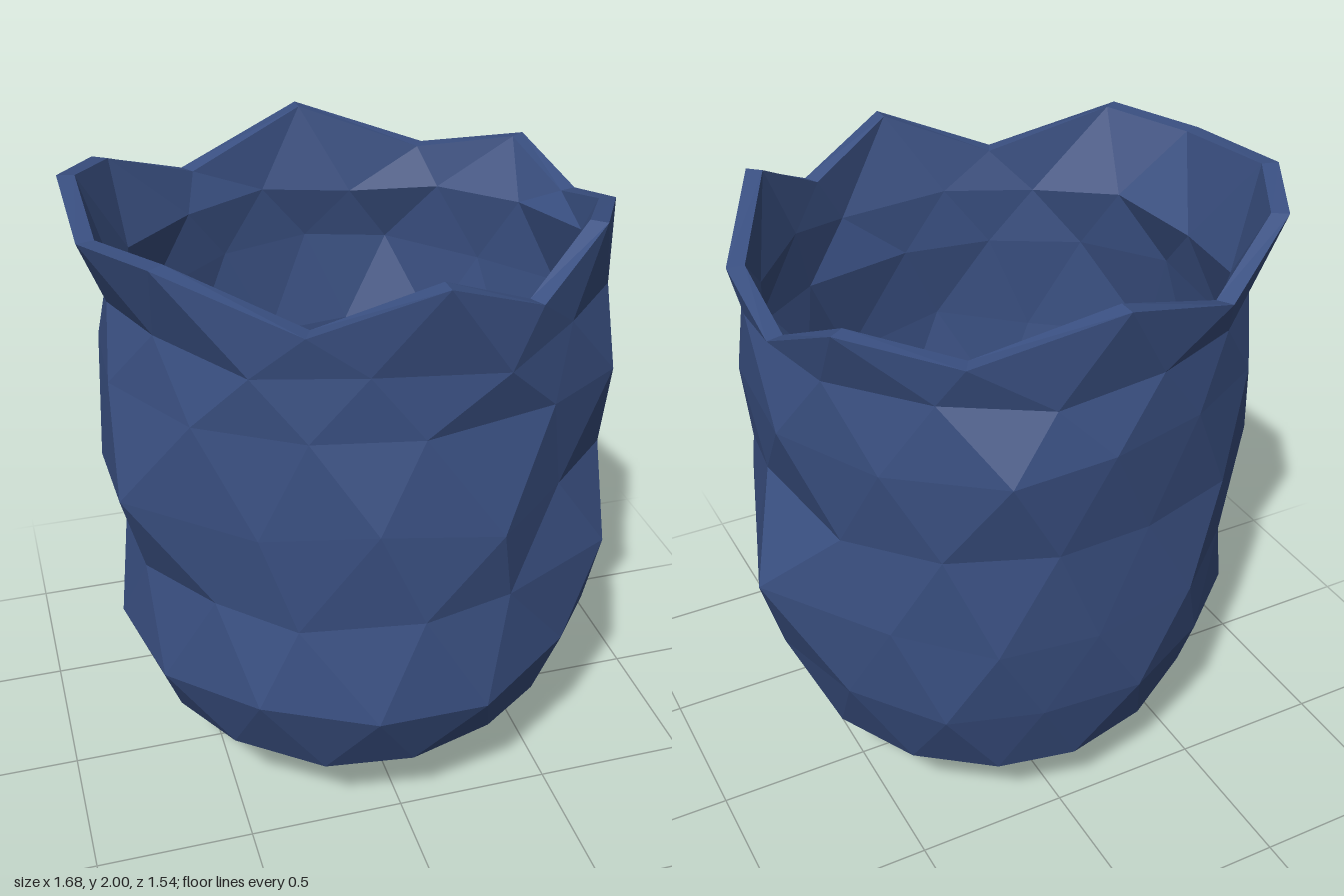
import * as THREE from 'three';

const SEG = 14;

// Rim corners [x, y, z], running from the front towards +x
const RIM = [
  [0.02, 1.97, 0.77], [0.32, 1.84, 0.66], [0.56, 1.98, 0.5], [0.77, 1.88, 0.1],
  [0.77, 1.8, -0.2], [0.68, 1.91, -0.44], [0.4, 1.84, -0.64], [0, 1.97, -0.77],
  [-0.41, 1.83, -0.64], [-0.71, 1.96, -0.46], [-0.84, 2.0, -0.22], [-0.84, 1.96, 0.2],
  [-0.69, 1.98, 0.47], [-0.33, 1.83, 0.66],
];

// Body rings: [height, reach to front, +x, back, -x, crumple]
const RINGS = [
  [0.11, 0.37, 0.36, 0.36, 0.41, 0.015],
  [0.31, 0.61, 0.64, 0.58, 0.68, 0.015],
  [0.6, 0.75, 0.73, 0.69, 0.78, 0.018],
  [0.9, 0.73, 0.77, 0.72, 0.76, 0.02],
  [1.2, 0.75, 0.74, 0.71, 0.8, 0.02],
  [1.5, 0.71, 0.77, 0.74, 0.8, 0.02],
  [1.71, 0.72, 0.75, 0.71, 0.76, 0.015],
];

// Folds pushed out of the rings: [ring, corner, x, y, z]
const FOLDS = [
  [1, 3, 0.62, 0.34, 0.16],
  [2, 0, 0.19, 0.57, 0.74], [2, 1, 0.5, 0.62, 0.55], [2, 13, -0.15, 0.58, 0.75],
  [3, 1, 0.27, 0.92, 0.67], [3, 2, 0.63, 0.94, 0.51], [3, 4, 0.84, 0.94, -0.12],
  [3, 13, -0.36, 0.88, 0.63],
  [4, 0, 0.22, 1.17, 0.73], [4, 1, 0.45, 1.2, 0.55], [4, 3, 0.73, 1.25, 0.03],
  [4, 11, -0.8, 1.2, 0.3], [4, 13, -0.15, 1.24, 0.74],
  [5, 1, 0.39, 1.51, 0.62], [5, 2, 0.64, 1.5, 0.45], [5, 6, 0.31, 1.5, -0.73],
  [6, 0, 0.22, 1.68, 0.71], [6, 3, 0.75, 1.76, 0.04],
];

// Wall thickness per ring: [inwards, upwards], rim last
const WALL = [
  [0.02, 0.05], [0.04, 0.04], [0.05, 0.015], [0.055, 0],
  [0.055, 0], [0.055, 0], [0.055, 0], [0.053, 0],
];

function seeded(seed) {
  return () => {
    seed = (seed * 16807) % 2147483647;
    return (seed / 2147483647) * 2 - 1;
  };
}

// Ring of corners; every other ring is turned by half a step
function bodyRing([y, front, left, back, right, crumple], index, rand) {
  const points = [];
  for (let i = 0; i < SEG; i++) {
    const a = ((i + (index % 2 ? 0 : 0.5)) / SEG) * Math.PI * 2 + rand() * crumple;
    const s = Math.sin(a), c = Math.cos(a);
    const r = (c > 0 ? front : back) * c * c + (s > 0 ? left : right) * s * s + rand() * crumple;
    points.push(new THREE.Vector3(s * r, y + rand() * crumple * 1.5, c * r));
  }
  return points;
}

// Same ring moved inwards by the wall thickness
function inset(ring, [inwards, upwards]) {
  return ring.map((p) => {
    const k = 1 - inwards / Math.hypot(p.x, p.z);
    return new THREE.Vector3(p.x * k, p.y + upwards, p.z * k);
  });
}

// Faceted geometry from a list of corner triples
function facets(triangles) {
  const geometry = new THREE.BufferGeometry().setFromPoints(triangles);
  geometry.computeVertexNormals();
  return geometry;
}

// Band between two rings; lag tells whether the upper ring trails by half a step
function band(out, low, high, lag) {
  for (let i = 0; i < SEG; i++) {
    const j = (i + 1) % SEG;
    if (lag) out.push(low[i], low[j], high[j], low[i], high[j], high[i]);
    else out.push(low[i], low[j], high[i], low[j], high[j], high[i]);
  }
}

// Closed bottom plus stacked bands, turned inside out for the lining
function shell(rings, tip, inward) {
  const out = [];
  for (let i = 0; i < SEG; i++) out.push(tip, rings[0][(i + 1) % SEG], rings[0][i]);
  for (let k = 0; k + 1 < rings.length; k++) band(out, rings[k], rings[k + 1], k % 2 === 0);
  if (inward) {
    for (let i = 0; i < out.length; i += 3) [out[i + 1], out[i + 2]] = [out[i + 2], out[i + 1]];
  }
  return facets(out);
}

export function createModel() {
  const group = new THREE.Group();
  group.name = 'crumpledSack';
  const cloth = new THREE.MeshStandardMaterial({ color: 0x3a5082 });
  cloth.name = 'navy cloth';

  const rand = seeded(4217);
  const outer = RINGS.map((ring, k) => bodyRing(ring, k, rand));
  for (const [ring, corner, x, y, z] of FOLDS) outer[ring][corner].set(x, y, z);
  outer.push(RIM.map((p) => new THREE.Vector3(...p)));
  const inner = outer.map((ring, k) => inset(ring, WALL[k]));

  const add = (name, geometry) => {
    const mesh = new THREE.Mesh(geometry, cloth);
    mesh.name = name;
    group.add(mesh);
  };
  add('outerCloth', shell(outer, new THREE.Vector3(0.01, 0, 0.02), false));
  add('innerCloth', shell(inner, new THREE.Vector3(0.01, 0.055, 0.02), true));

  // Flat lip joining both layers
  const lip = [];
  band(lip, outer[outer.length - 1], inner[inner.length - 1], false);
  add('rim', facets(lip));
  return group;
}
